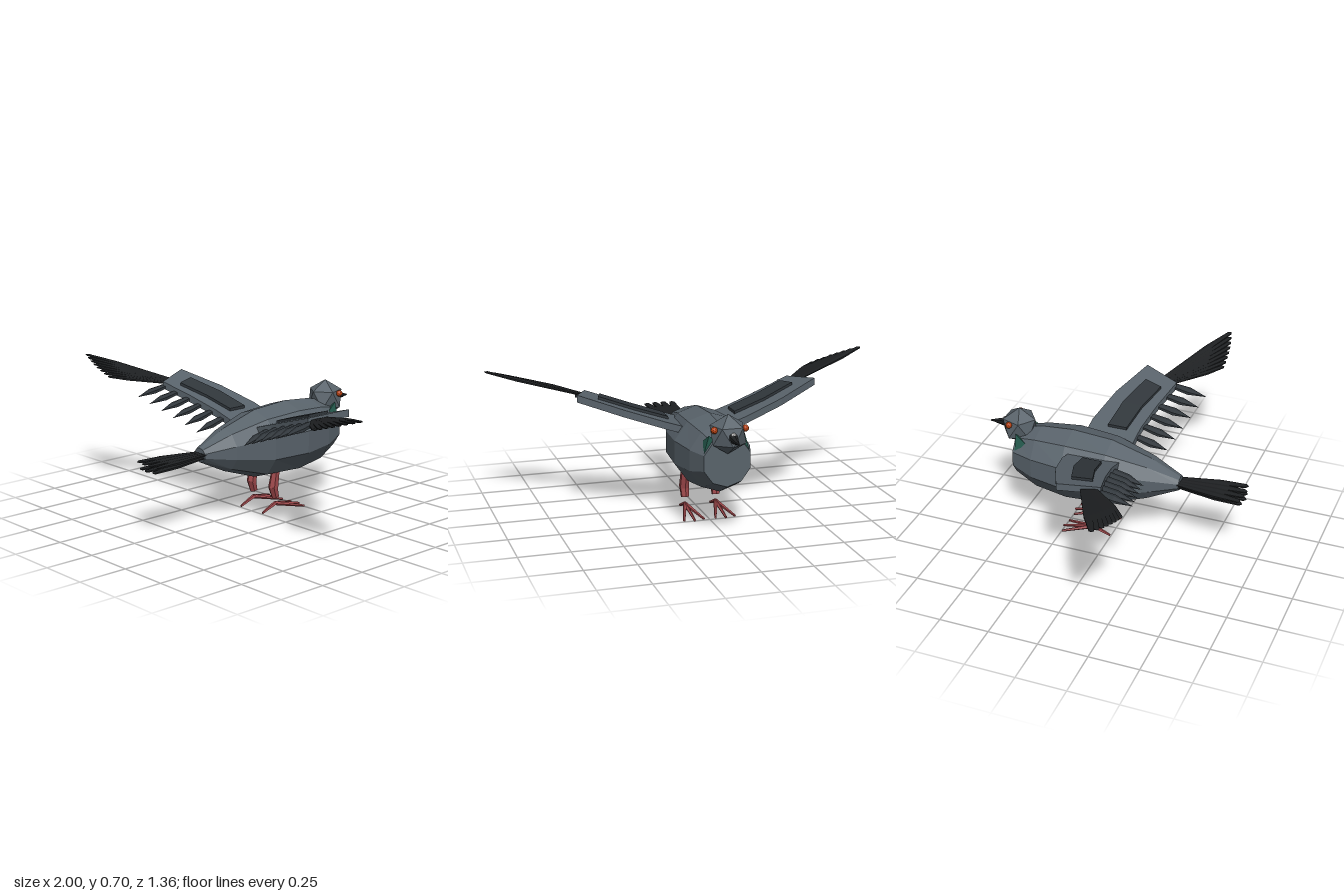
import * as THREE from 'three';
import { ConvexGeometry } from 'three/addons/geometries/ConvexGeometry.js';

const V = (x, y, z) => new THREE.Vector3(x, y, z);
const mat = (color) => new THREE.MeshStandardMaterial({ color, flatShading: true });
const slate = mat(0x59636b), dark = mat(0x30363b), black = mat(0x1d1f21);
const red = mat(0x9c4649), orange = mat(0xb5400f), green = mat(0x245a4d), pale = mat(0xc4c4c0);

function add(parent, name, geometry, material) {
  const mesh = new THREE.Mesh(geometry, material);
  mesh.name = name;
  parent.add(mesh);
  return mesh;
}

// Skin between rings of points, closed at both ends
function loft(rings) {
  const pts = [], n = rings[0].length;
  const tri = (...t) => t.forEach((p) => pts.push(p));
  for (let r = 0; r < rings.length - 1; r++) {
    for (let i = 0; i < n; i++) {
      const j = (i + 1) % n, a = rings[r], b = rings[r + 1];
      tri(a[i], a[j], b[j]);
      tri(a[i], b[j], b[i]);
    }
  }
  const first = rings[0], last = rings[rings.length - 1];
  for (let i = 1; i < n - 1; i++) {
    tri(first[0], first[i + 1], first[i]);
    tri(last[0], last[i], last[i + 1]);
  }
  const g = new THREE.BufferGeometry().setFromPoints(pts);
  g.computeVertexNormals();
  return g;
}

// Flattened spindle from base to tip; profile holds [relative width, position]
function feather(parent, name, base, tip, width, thick, profile, material) {
  const len = base.distanceTo(tip);
  const g = new THREE.LatheGeometry(profile.map(([r, t]) => new THREE.Vector2(r, t)), 6);
  const y = tip.clone().sub(base).normalize();
  const x = y.clone().cross(V(0, 1, 0)).normalize();
  const z = x.clone().cross(y);
  g.scale(width, len, thick);
  g.applyMatrix4(new THREE.Matrix4().makeBasis(x, y, z).setPosition(base));
  return add(parent, name, g, material);
}
const POINTED = [[0, 0], [0.7, 0.02], [1, 0.55], [0, 1]];
const BLUNT = [[0, 0], [0.4, 0.02], [1, 0.65], [0.6, 0.97], [0, 1]];

// Tapered rod between two points
function rod(parent, name, a, b, ra, rb, material, sides = 6) {
  const g = new THREE.CylinderGeometry(rb, ra, a.distanceTo(b), sides);
  const mesh = add(parent, name, g, material);
  mesh.position.copy(a).lerp(b, 0.5);
  mesh.quaternion.setFromUnitVectors(V(0, 1, 0), b.clone().sub(a).normalize());
  return mesh;
}

const wingY = (x) => 0.455 + (x - 0.12) * 0.32;

// Plate following the wing: rows of [xLead, zLead, xTrail, zTrail]
function wingPlate(rows, lift, half) {
  return loft(rows.map(([xl, zl, xt, zt]) => {
    const yl = wingY(xl) + lift, yt = wingY(xt) + lift;
    return [V(xl, yl + half, zl), V(xt, yt + half, zt), V(xt, yt - half, zt), V(xl, yl - half, zl)];
  }));
}

function buildWing() {
  const wing = new THREE.Group();
  add(wing, 'wingArm', wingPlate([
    [0.08, -0.21, 0.08, 0.05], [0.2, -0.205, 0.2, 0.055],
    [0.4, -0.155, 0.36, 0.085], [0.61, -0.06, 0.53, 0.13]], 0, 0.018), slate);
  add(wing, 'wingCovert', wingPlate([
    [0.17, -0.11, 0.17, -0.01], [0.33, -0.09, 0.32, 0.015], [0.5, -0.03, 0.47, 0.065]], 0.018, 0.014), dark);
  // Trailing feathers
  for (let i = 0; i < 6; i++) {
    const x = 0.17 + i * 0.073, t = i / 5;
    feather(wing, 'secondaryFeather', V(x, wingY(x) - 0.005, 0.02 + 0.06 * t),
      V(x + 0.005, 0.415 + 0.13 * t, 0.21 + 0.08 * t), 0.03, 0.015, POINTED, dark);
  }
  // Fan of tip feathers
  for (let i = 0; i < 8; i++) {
    const t = i / 7;
    feather(wing, 'primaryFeather', V(0.53 + 0.04 * t, 0.59 + 0.012 * t, 0.1 - 0.05 * t),
      V(0.755 + 0.245 * t, 0.622 + 0.076 * t, 0.315 - 0.04 * t * t), 0.023, 0.009, BLUNT, black);
  }
  return wing;
}

function buildLeg() {
  const leg = new THREE.Group(), X = 0.08;
  rod(leg, 'thigh', V(X, 0.22, -0.092), V(X, 0.125, -0.075), 0.021, 0.026, red);
  rod(leg, 'shin', V(X, 0.135, -0.073), V(X, 0.077, -0.09), 0.025, 0.02, red);
  const ankle = V(X, 0.043, -0.09);
  for (const s of [-1, 0, 1]) {
    rod(leg, 'frontToe', ankle, V(X + s * 0.05, 0.008, -0.258 + Math.abs(s) * 0.012), 0.011, 0.006, red, 5);
  }
  rod(leg, 'hindToe', ankle, V(X, 0.008, -0.002), 0.011, 0.006, red, 5);
  return leg;
}

export function createModel() {
  const bird = new THREE.Group();
  bird.name = 'bird';

  // Body rings: z, centre height, half width, half height
  const rings = [
    [-0.515, 0.372, 0.12, 0.122], [-0.4, 0.359, 0.158, 0.166], [-0.23, 0.355, 0.184, 0.185],
    [-0.02, 0.352, 0.165, 0.174], [0.185, 0.357, 0.103, 0.109], [0.34, 0.358, 0.04, 0.036]];
  add(bird, 'body', loft(rings.map(([z, cy, w, h]) => Array.from({ length: 10 }, (_, i) => {
    const a = Math.PI / 2 + (i / 10) * Math.PI * 2;
    return V(w * Math.cos(a), cy + h * Math.sin(a), z);
  }))), slate);

  // Head, turned to stand on a corner
  const headShape = new THREE.IcosahedronGeometry(0.096, 0);
  headShape.rotateX(-Math.atan((1 + Math.sqrt(5)) / 2));
  add(bird, 'head', headShape, slate).position.set(0, 0.509, -0.52);

  // Beak
  rod(bird, 'upperBeak', V(0, 0.512, -0.585), V(0, 0.499, -0.68), 0.024, 0.004, black);
  rod(bird, 'lowerBeak', V(0, 0.495, -0.585), V(0, 0.494, -0.655), 0.016, 0.003, black);
  const cere = add(bird, 'cere', new THREE.IcosahedronGeometry(0.012, 1), pale);
  cere.position.set(0, 0.524, -0.604);

  // Tail fan in two layers
  for (let i = -3; i <= 3; i++) {
    const y = i % 2 ? 0.37 : 0.34;
    feather(bird, 'tailFeather', V(i * 0.007, 0.355 + (y - 0.355) * 0.5, 0.27),
      V(i * 0.024, y, 0.68 - Math.abs(i) * 0.004), 0.026, 0.01, BLUNT, black);
  }

  // Mirrored parts
  for (const [side, s] of [['left', 1], ['right', -1]]) {
    const half = new THREE.Group();
    half.name = side + 'Side';
    half.scale.x = s;
    const wing = buildWing(), leg = buildLeg();
    wing.name = side + 'Wing';
    leg.name = side + 'Leg';
    half.add(wing, leg);
    add(half, 'eye', new THREE.IcosahedronGeometry(0.017, 1), orange).position.set(0.076, 0.539, -0.547);
    add(half, 'neckPatch', new ConvexGeometry([
      V(0.1, 0.466, -0.45), V(0.088, 0.503, -0.505), V(0.118, 0.393, -0.503), V(0.02, 0.45, -0.5)]), green);
    bird.add(half);
  }
  return bird;
}
